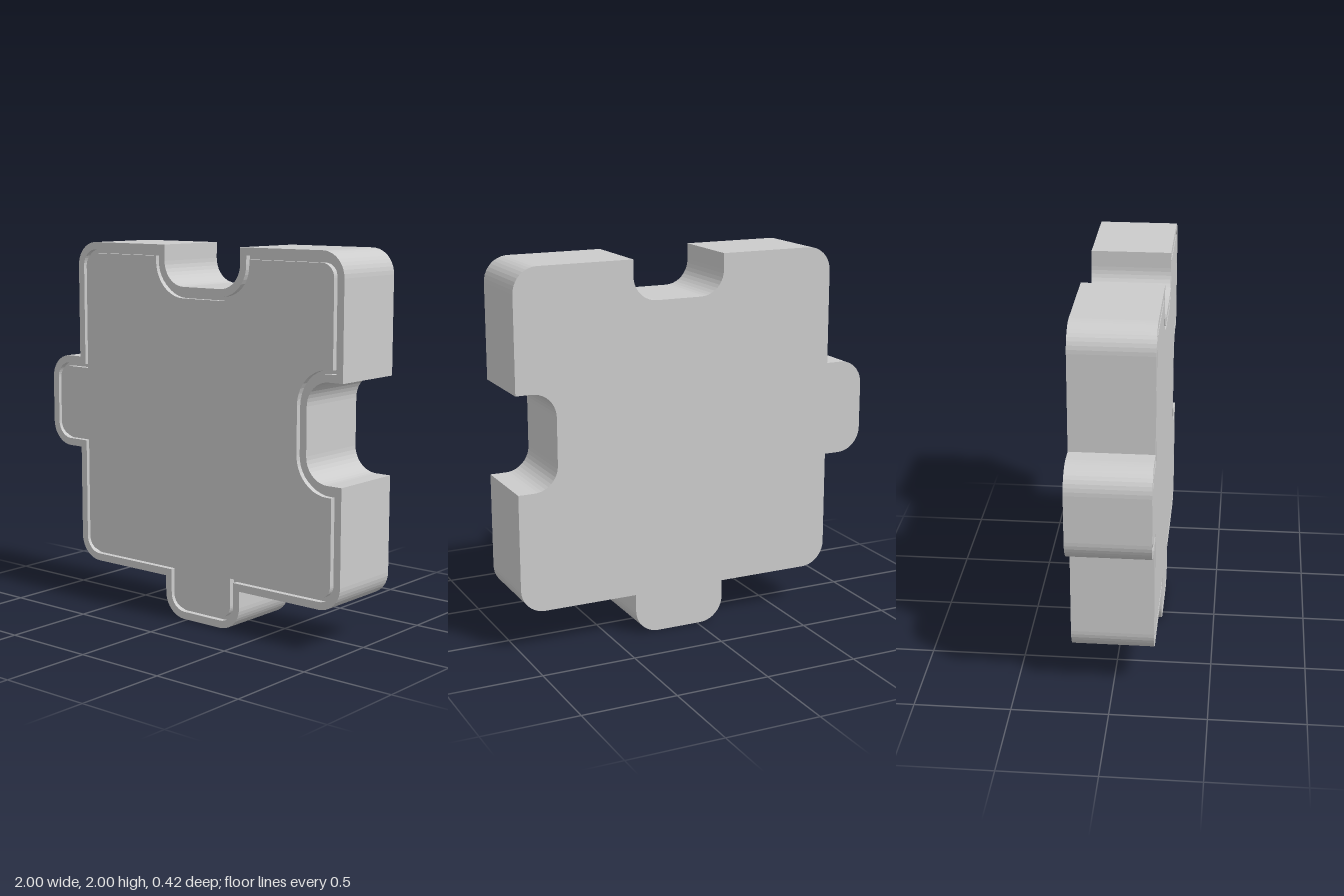
import * as THREE from 'three';

const R = 0.13;      // corner radius
const HALF = 0.212;  // half thickness
const GROOVE = 0.03; // groove depth

// Outline corners, counter-clockwise: x, y, radius (0 = sharp)
const CORNERS = [
  [-0.785, 0.22, R],
  [-0.15, 0.22, 0], [-0.15, 0, R], [0.36, 0, R], [0.36, 0.22, 0],             // bottom tab
  [1, 0.22, R],
  [1, 0.855, 0], [0.785, 0.855, R], [0.785, 1.365, R], [1, 1.365, 0],         // side notch
  [1, 2, R],
  [0.36, 2, 0], [0.36, 1.785, R], [-0.15, 1.785, R], [-0.15, 2, 0],           // top notch
  [-0.785, 2, R],
  [-0.785, 1.365, 0], [-1, 1.365, R], [-1, 0.855, R], [-0.785, 0.855, 0],     // side tab
];

// Outline points, moved inward by `inset`, with the corners rounded
function outline(inset, steps = 10) {
  const n = CORNERS.length;
  const pts = [];
  const at = (i) => new THREE.Vector2(CORNERS[(i + n) % n][0], CORNERS[(i + n) % n][1]);
  for (let i = 0; i < n; i++) {
    const p = at(i);
    const dirIn = p.clone().sub(at(i - 1)).normalize();
    const dirOut = at(i + 1).sub(p).normalize();
    p.x -= inset * (dirIn.y + dirOut.y);
    p.y += inset * (dirIn.x + dirOut.x);
    if (CORNERS[i][2] === 0) {
      pts.push(p);
      continue;
    }
    const convex = dirIn.cross(dirOut) > 0;
    const r = CORNERS[i][2] + (convex ? -inset : inset);
    const centre = p.clone().addScaledVector(dirIn, -r).addScaledVector(dirOut, r);
    for (let k = 0; k <= steps; k++) {
      const t = (k / steps) * Math.PI / 2;
      pts.push(centre.clone()
        .addScaledVector(dirOut, -r * Math.cos(t))
        .addScaledVector(dirIn, r * Math.sin(t)));
    }
  }
  return pts;
}

export function createModel() {
  const group = new THREE.Group();
  group.name = 'puzzlePiece';
  const material = new THREE.MeshStandardMaterial({ color: 0xcccccc });

  const addSlab = (name, shape, z0, z1) => {
    const geometry = new THREE.ExtrudeGeometry(shape, { depth: z1 - z0, bevelEnabled: false });
    geometry.translate(0, 0, z0);
    const mesh = new THREE.Mesh(geometry, material);
    mesh.name = name;
    group.add(mesh);
  };

  // Solid body up to the groove floor
  addSlab('body', new THREE.Shape(outline(0)), -HALF, HALF - GROOVE);

  // Rim around the front edge
  const rim = new THREE.Shape(outline(0));
  rim.holes.push(new THREE.Path(outline(0.04)));
  addSlab('rim', rim, HALF - GROOVE, HALF);

  // Front panel inside the groove
  addSlab('frontPanel', new THREE.Shape(outline(0.06)), HALF - GROOVE, HALF);

  return group;
}
